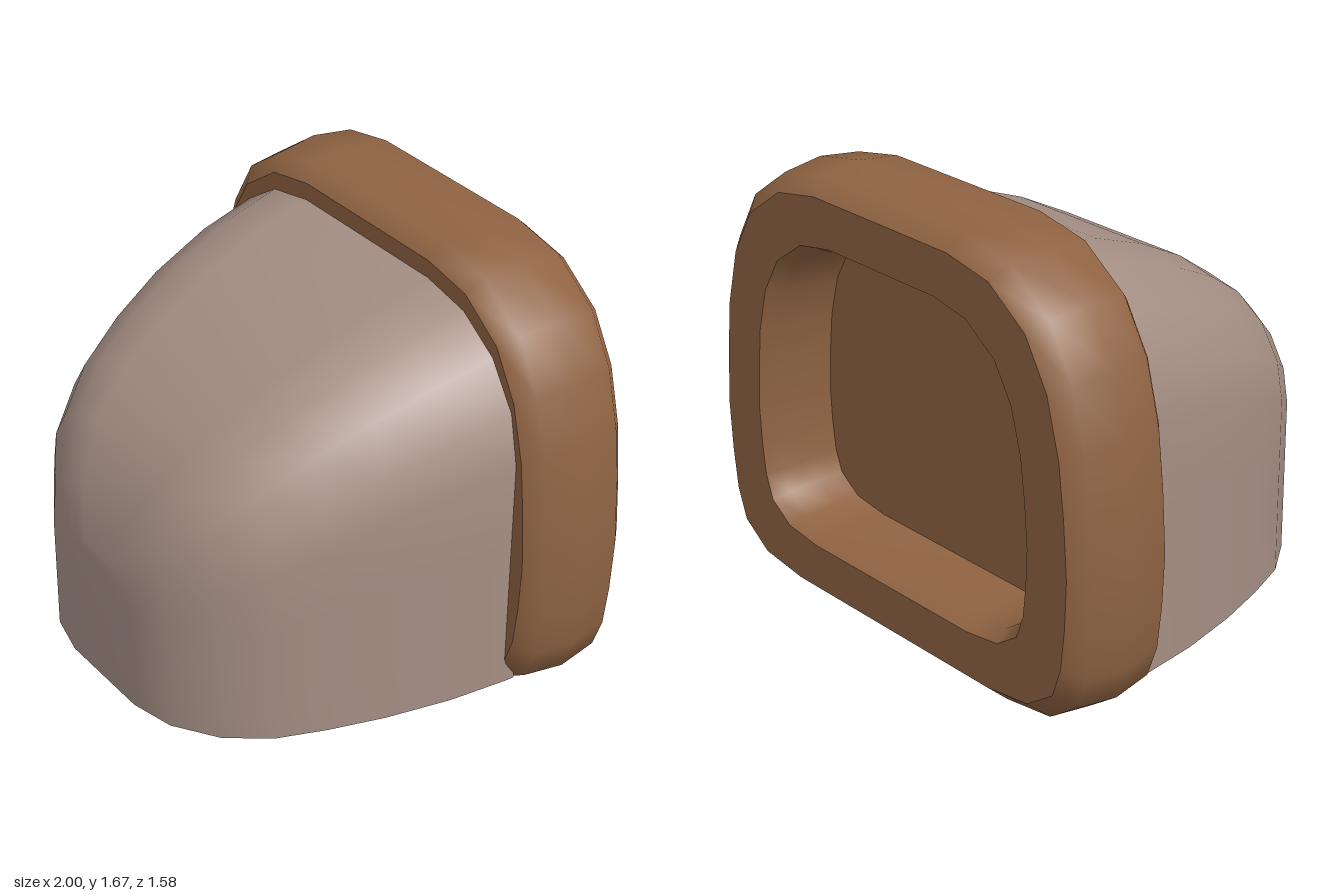
import * as THREE from 'three';

// Mirror a right-hand half profile (bottom to top) into a full run of points
const mirror = (half) => [...half, ...half.map(([x, y]) => [-x, y]).reverse()];

// Skin a series of rings ({ z, pts }); caps join mirrored pairs of points
function skin(rings, { closed = false, sides = true, capFront = false, capBack = false } = {}) {
  const n = rings[0].pts.length;
  const pos = rings.flatMap(({ z, pts }) => pts.flatMap(([x, y]) => [x, y, z]));
  const index = [];
  if (sides) {
    for (let r = 0; r < rings.length - 1; r++) {
      for (let i = 0; i < (closed ? n : n - 1); i++) {
        const a = r * n + i, b = r * n + (i + 1) % n;
        index.push(a, a + n, b, b, a + n, b + n);
      }
    }
  }
  const cap = (o, flip) => {
    for (let i = 0; i < n / 2 - 1; i++) {
      const a = o + i, b = a + 1, c = o + n - 2 - i, d = c + 1;
      index.push(...(flip ? [a, c, b, a, d, c] : [a, b, c, a, c, d]));
    }
  };
  if (capFront) cap(0, false);
  if (capBack) cap((rings.length - 1) * n, true);
  const g = new THREE.BufferGeometry();
  g.setAttribute('position', new THREE.Float32BufferAttribute(pos, 3));
  g.setIndex(index);
  g.computeVertexNormals();
  return g;
}

export function createModel() {
  const group = new THREE.Group();
  const stone = new THREE.MeshStandardMaterial({ color: 0xa48e84, side: THREE.DoubleSide });
  stone.name = 'warm grey';
  const wood = new THREE.MeshStandardMaterial({ color: 0x8f6342, side: THREE.DoubleSide });
  wood.name = 'brown';
  const add = (name, geometry, material) => {
    const m = new THREE.Mesh(geometry, material);
    m.name = name;
    group.add(m);
  };

  // Hood: arched sections [z, half width, top], open underneath and behind
  const base = 0.105;
  const sections = [
    [0.79, 0.2, 0.645], [0.75, 0.37, 0.84], [0.643, 0.53, 1.03], [0.495, 0.64, 1.16],
    [0.317, 0.71, 1.28], [0.11, 0.775, 1.385], [-0.135, 0.83, 1.475], [-0.36, 0.858, 1.53],
    [-0.4, 0.86, 1.535],
  ];
  // Arch corner: [fraction of width, drop as fraction of height]
  const corner = [[1, 0.327], [0.955, 0.203], [0.826, 0.095], [0.64, 0.026], [0.41, 0]];
  add('hood', skin(sections.map(([z, w, h]) => {
    const arch = corner.map(([u, v]) => [w * u, h * (1 - v)]);
    const shoulder = arch[0][1];
    const wall = [0, 0.33, 0.67].map((t) => [w, base + (shoulder - base) * t]);
    return { z, pts: mirror([...wall, ...arch]) };
  }), { capFront: true }), stone);

  // Frame: rounded outline, inset towards its centre
  const outline = mirror([
    [0.57, 0], [0.79, 0.03], [0.925, 0.125], [0.97, 0.25], [0.99, 0.42], [1, 0.62],
    [0.985, 0.85], [0.96, 1.07], [0.9, 1.3], [0.79, 1.49], [0.6, 1.625], [0.38, 1.667],
  ]);
  const mid = 0.8335;
  const ring = (z, inset) => ({
    z,
    pts: outline.map(([x, y]) => [x * (1 - inset), mid + (y - mid) * (1 - inset * 0.9 / mid)]),
  });
  const front = ring(-0.355, 0.08), back = ring(-0.79, 0.08), lip = ring(-0.79, 0.27);
  const floor = ring(-0.5, 0.31);

  add('frameRim', skin([front, ring(-0.41, 0.02), ring(-0.57, 0), ring(-0.73, 0.02), back],
    { closed: true }), wood);
  add('frameFront', skin([front], { sides: false, capFront: true }), wood);
  add('frameBack', skin([back, lip], { closed: true }), wood);
  add('recessWall', skin([lip, ring(-0.73, 0.3), ring(-0.6, 0.31), floor], { closed: true }), wood);
  add('recessPanel', skin([floor], { sides: false, capBack: true }), wood);

  return group;
}
